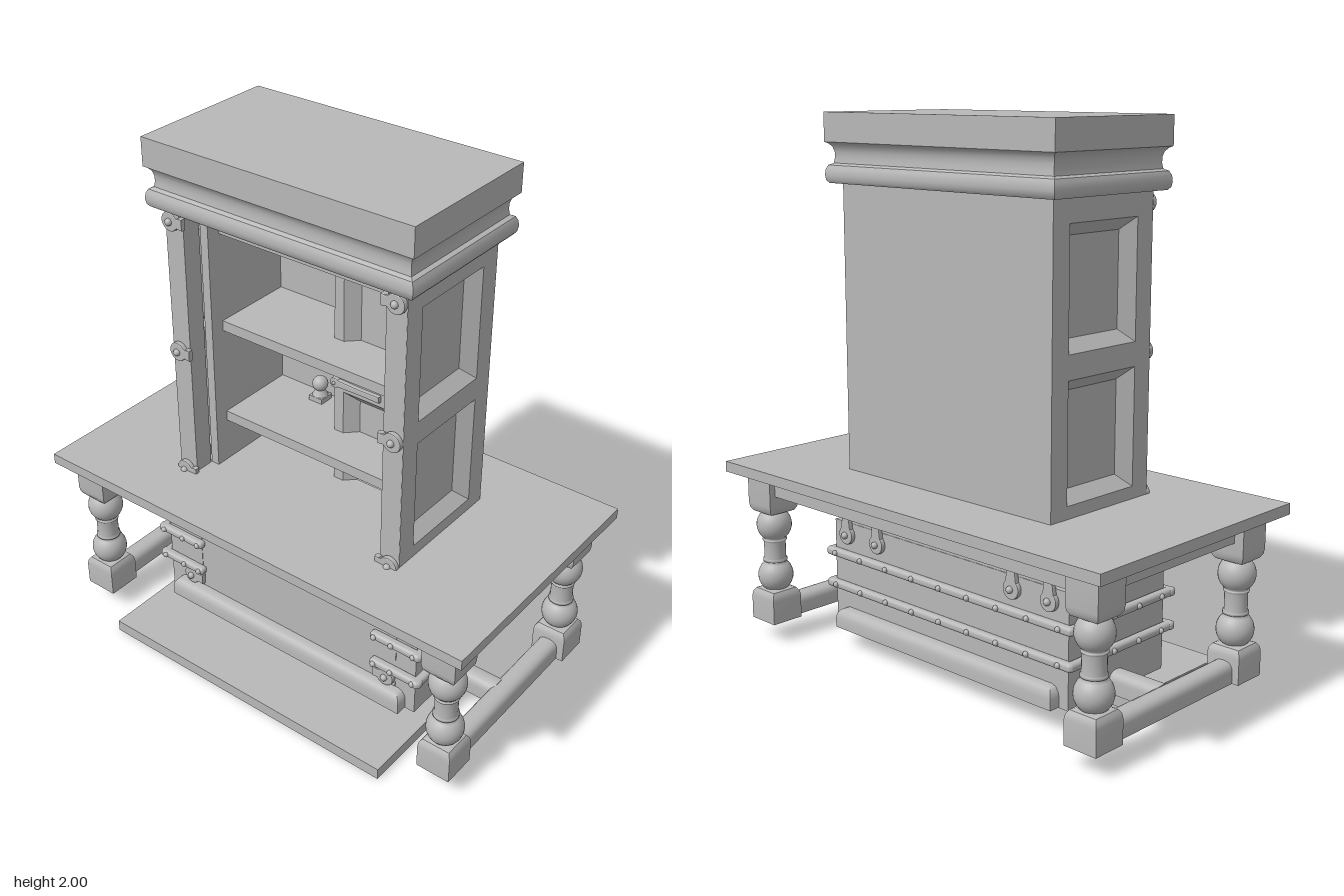
import * as THREE from 'three';
import { toCreasedNormals } from 'three/addons/utils/BufferGeometryUtils.js';
import { RoundedBoxGeometry } from 'three/addons/geometries/RoundedBoxGeometry.js';

const grey = new THREE.MeshStandardMaterial({ color: 0xb8b8b8, side: THREE.DoubleSide });
grey.name = 'plain grey';

function add(parent, name, geometry, x = 0, y = 0, z = 0) {
  const mesh = new THREE.Mesh(geometry, grey);
  mesh.name = name;
  mesh.position.set(x, y, z);
  parent.add(mesh);
  return mesh;
}

// box given by its limits
function box(parent, name, x0, x1, y0, y1, z0, z1) {
  return add(parent, name, new THREE.BoxGeometry(x1 - x0, y1 - y0, z1 - z0),
    (x0 + x1) / 2, (y0 + y1) / 2, (z0 + z1) / 2);
}

// skin over rectangles [x0, x1, y0, y1, z] stacked along z
function loft(sections, capStart = true, capEnd = true) {
  const pos = [];
  const rings = sections.map(([a, b, c, d, z]) => [[a, c, z], [b, c, z], [b, d, z], [a, d, z]]);
  const quad = (p, q, r, s) => pos.push(...p, ...q, ...r, ...p, ...r, ...s);
  for (let i = 0; i + 1 < rings.length; i++) {
    for (let k = 0; k < 4; k++) {
      const n = (k + 1) % 4;
      quad(rings[i][k], rings[i][n], rings[i + 1][n], rings[i + 1][k]);
    }
  }
  if (capEnd) quad(...rings[rings.length - 1]);
  if (capStart) quad(...rings[0].slice().reverse());
  const g = new THREE.BufferGeometry();
  g.setAttribute('position', new THREE.Float32BufferAttribute(pos, 3));
  g.computeVertexNormals();
  return g;
}

// moulding running round the cabinet, from [overhang, height] pairs
function moulding(parent, name, profile) {
  const g = loft(profile.map(([o, y]) => [-0.5 - o, 0.5 + o, -0.24 - o, 0.26 + o, y]));
  g.rotateX(-Math.PI / 2);
  add(parent, name, toCreasedNormals(g, 0.6));
}

// frame with bevelled recessed fields; its face lies on z = 0
function panelled(name, x0, x1, y0, y1, hx0, hx1, fields, thick) {
  const group = new THREE.Group();
  group.name = name;
  const rect = (P, a, b, c, d) => new P().moveTo(a, c).lineTo(b, c).lineTo(b, d).lineTo(a, d).closePath();
  const shape = rect(THREE.Shape, x0, x1, y0, y1);
  fields.forEach(([a, b]) => shape.holes.push(rect(THREE.Path, hx0, hx1, a, b)));
  add(group, 'panelFrame', new THREE.ExtrudeGeometry(shape, { depth: thick, bevelEnabled: false }), 0, 0, -thick);
  const i = 0.043;
  fields.forEach(([a, b]) => add(group, 'recessedField',
    loft([[hx0 + i, hx1 - i, a + i, b - i, -thick], [hx0, hx1, a, b, 0]], true, false)));
  return group;
}

// drop-shaped iron fitting: round end at the origin, tail along +x, face to +z
function fitting(parent, name, r, length, x, y, z, rotation) {
  const group = new THREE.Group();
  group.name = name;
  const tail = r * 0.45;
  const s = new THREE.Shape();
  s.absarc(0, 0, r, 0.7, Math.PI * 2 - 0.7, false);
  s.lineTo(length * 0.6, -tail);
  s.lineTo(length, -tail * 1.2);
  s.lineTo(length, tail * 1.2);
  s.lineTo(length * 0.6, tail);
  s.closePath();
  add(group, 'plate', new THREE.ExtrudeGeometry(s, {
    depth: 0.008, bevelThickness: 0.006, bevelSize: 0.004, bevelSegments: 2, curveSegments: 14 }));
  add(group, 'stud', new THREE.SphereGeometry(r * 0.42, 12, 8), 0, 0, 0.016);
  group.position.set(x, y, z);
  group.rotation.set(...rotation);
  parent.add(group);
}

// bar with a rounded top, running along z
function roundedBar(length) {
  const s = new THREE.Shape().moveTo(-0.04, 0).lineTo(0.04, 0).lineTo(0.04, 0.045);
  s.quadraticCurveTo(0.038, 0.077, 0, 0.077).quadraticCurveTo(-0.038, 0.077, -0.04, 0.045).closePath();
  const g = new THREE.ExtrudeGeometry(s, { depth: length, bevelEnabled: false, curveSegments: 6 });
  return toCreasedNormals(g.translate(0, 0, -length / 2), 0.6);
}

function buildTable() {
  const t = new THREE.Group();
  t.name = 'table';
  box(t, 'tableTop', -0.922, 0.922, 0.66, 0.7, -0.513, 0.493);
  box(t, 'frontApron', -0.74, 0.74, 0.58, 0.66, 0.35, 0.41);
  box(t, 'backApron', -0.74, 0.74, 0.58, 0.66, -0.43, -0.37);
  // turned profile with two balls
  const pts = [[0.035, 0.18]];
  const ball = (c) => {
    for (let i = 0; i <= 10; i++) {
      const a = -0.95 + 1.9 * i / 10;
      pts.push([0.067 * Math.cos(a), c + 0.067 * Math.sin(a)]);
    }
  };
  ball(0.25);
  pts.push([0.046, 0.308], [0.046, 0.317], [0.041, 0.32], [0.041, 0.385], [0.046, 0.39], [0.046, 0.396]);
  ball(0.452);
  pts.push([0.035, 0.53]);
  const turned = new THREE.LatheGeometry(pts.map(p => new THREE.Vector2(...p)), 28);
  const block = (list) => toCreasedNormals(
    loft(list.map(([w, y]) => [-w, w, -w, w, y])).rotateX(-Math.PI / 2), 0.6);
  const upper = block([[0.038, 0.5], [0.054, 0.506], [0.063, 0.52], [0.066, 0.54], [0.066, 0.66]]);
  const lower = block([[0.066, 0.075], [0.066, 0.165], [0.063, 0.182], [0.054, 0.196], [0.038, 0.202]]);
  for (const x of [-0.8, 0.8]) {
    for (const z of [0.37, -0.388]) {
      const leg = new THREE.Group();
      leg.name = 'tableLeg';
      leg.position.set(x, 0, z);
      add(leg, 'turnedShaft', turned);
      add(leg, 'upperBlock', upper);
      add(leg, 'lowerBlock', lower);
      t.add(leg);
    }
    box(t, 'sideApron', x - 0.03, x + 0.03, 0.58, 0.66, -0.34, 0.32);
    add(t, 'sideStretcher', roundedBar(0.64), x, 0.075, -0.01);
  }
  add(t, 'crossStretcher', roundedBar(1.56), 0, 0.075, -0.01).rotation.y = Math.PI / 2;
  return t;
}

function buildCabinet() {
  const c = new THREE.Group();
  c.name = 'cabinet';
  moulding(c, 'cornice', [[0, 1.75], [0.034, 1.752], [0.042, 1.762], [0.045, 1.78], [0.043, 1.8], [0.036, 1.815],
    [0.022, 1.822], [0.019, 1.84], [0.019, 1.86], [0.024, 1.878], [0.034, 1.89], [0.045, 1.896], [0.045, 2]]);
  moulding(c, 'baseMoulding', [[0.045, 0.08], [0.045, 0.118], [0.041, 0.135], [0.031, 0.149], [0.015, 0.156], [0, 0.156]]);
  box(c, 'backPanel', -0.5, 0.5, 0.15, 1.75, -0.26, -0.22);
  for (let i = 0; i < 4; i++) box(c, 'shelf', -0.386, 0.386, 0.49 + 0.38 * i, 0.53 + 0.38 * i, -0.22, 0.104);
  const fields = [[0.245, 0.663], [0.745, 1.165], [1.25, 1.67]];
  for (const s of [-1, 1]) {
    const side = s > 0 ? panelled('rightHandSide', -0.24, 0.26, 0.15, 1.75, -0.16, 0.18, fields, 0.045)
      : panelled('leftHandSide', -0.26, 0.24, 0.15, 1.75, -0.18, 0.16, fields, 0.045);
    side.rotation.y = s * Math.PI / 2;
    side.position.x = s * 0.5;
    c.add(side);
    const span = (a, b) => (s > 0 ? [a, b] : [-b, -a]);
    box(c, 'frontPost', ...span(0.42, 0.499), 0.15, 1.75, 0.165, 0.241);
    box(c, 'innerLining', ...span(0.386, 0.42), 0.15, 1.75, -0.22, 0.16);
    for (const y of [0.195, 0.7, 1.205, 1.71]) {
      fitting(c, 'postFitting', 0.032, 0.052, s * 0.465, y, 0.247, [0, 0, s > 0 ? Math.PI : 0]);
      box(c, 'fittingEnd', ...span(0.412, 0.428), y - 0.02, y + 0.02, 0.24, 0.257);
    }
  }
  // panelled leaf standing inside, with its strap hinges
  const leaf = panelled('innerLeaf', 0, 0.42, 0.115, 1.615, 0.04, 0.378, [[0.16, 0.58], [0.663, 1.083], [1.165, 1.588]], 0.043);
  leaf.position.z = -0.045;
  c.add(leaf);
  for (const y of [1.12, 1.625]) fitting(c, 'leafStrap', 0.016, 0.19, 0.012, y, -0.04, [0, 0, 0]);
  // small finial and round plate at the back of the shelves
  box(c, 'finialPost', -0.197, -0.137, 0.53, 0.93, -0.205, -0.145);
  add(c, 'finialNeck', new THREE.CylinderGeometry(0.015, 0.03, 0.03, 16), -0.167, 0.945, -0.175);
  add(c, 'finialBall', new THREE.SphereGeometry(0.03, 18, 12), -0.167, 0.978, -0.175);
  add(c, 'roundPlate', new THREE.CylinderGeometry(0.112, 0.112, 0.012, 32), 0, 0.908, -0.21).rotation.x = Math.PI / 2;
  return c;
}

function buildChest() {
  const c = new THREE.Group();
  c.name = 'chest';
  box(c, 'frontWall', -0.585, 0.585, 0.078, 0.49, 0.2, 0.239);
  box(c, 'backWall', -0.585, 0.585, 0.078, 0.49, -0.262, -0.225);
  for (const s of [-1, 1]) box(c, 'sideWall', s * 0.565 - 0.02, s * 0.565 + 0.02, 0.078, 0.49, -0.261, 0.238);
  const stud = new THREE.SphereGeometry(0.011, 10, 8);
  for (const y of [0.24, 0.365]) {
    for (const s of [-1, 1]) {
      add(c, 'frontBand', new RoundedBoxGeometry(0.22, 0.032, 0.034, 3, 0.013), s * 0.51, y, 0.253);
      add(c, 'sideBand', new RoundedBoxGeometry(0.034, 0.032, 0.56, 3, 0.013), s * 0.6, y, -0.006);
      for (const x of [0.42, 0.495, 0.59]) add(c, 'bandStud', stud, s * x, y, 0.27);
      for (const z of [0.19, 0.065, -0.065, -0.2]) add(c, 'bandStud', stud, s * 0.616, y, z);
    }
    add(c, 'backBand', new RoundedBoxGeometry(1.23, 0.032, 0.034, 3, 0.013), 0, y, -0.272);
    for (let i = 0; i < 9; i++) add(c, 'bandStud', stud, -0.56 + 0.14 * i, y, -0.289);
  }
  // loose lid lying in front, and matching hinge plates on lid and back wall
  box(c, 'looseLid', -0.628, 0.628, 0, 0.045, 0.015, 0.515);
  for (const x of [-0.508, -0.34, 0.34, 0.508]) {
    fitting(c, 'backHinge', 0.032, 0.12, x, 0.445, -0.268, [0, Math.PI, Math.PI / 2]);
    add(c, 'hingePin', new THREE.CylinderGeometry(0.012, 0.012, 0.05, 12), x, 0.555, -0.278).rotation.z = Math.PI / 2;
    fitting(c, 'lidHinge', 0.018, 0.18, x, 0.05, 0.18, [-Math.PI / 2, 0, Math.PI / 2]);
  }
  return c;
}

export function createModel() {
  const model = new THREE.Group();
  model.name = 'furnitureGroup';
  model.add(buildTable(), buildCabinet(), buildChest());
  return model;
}
